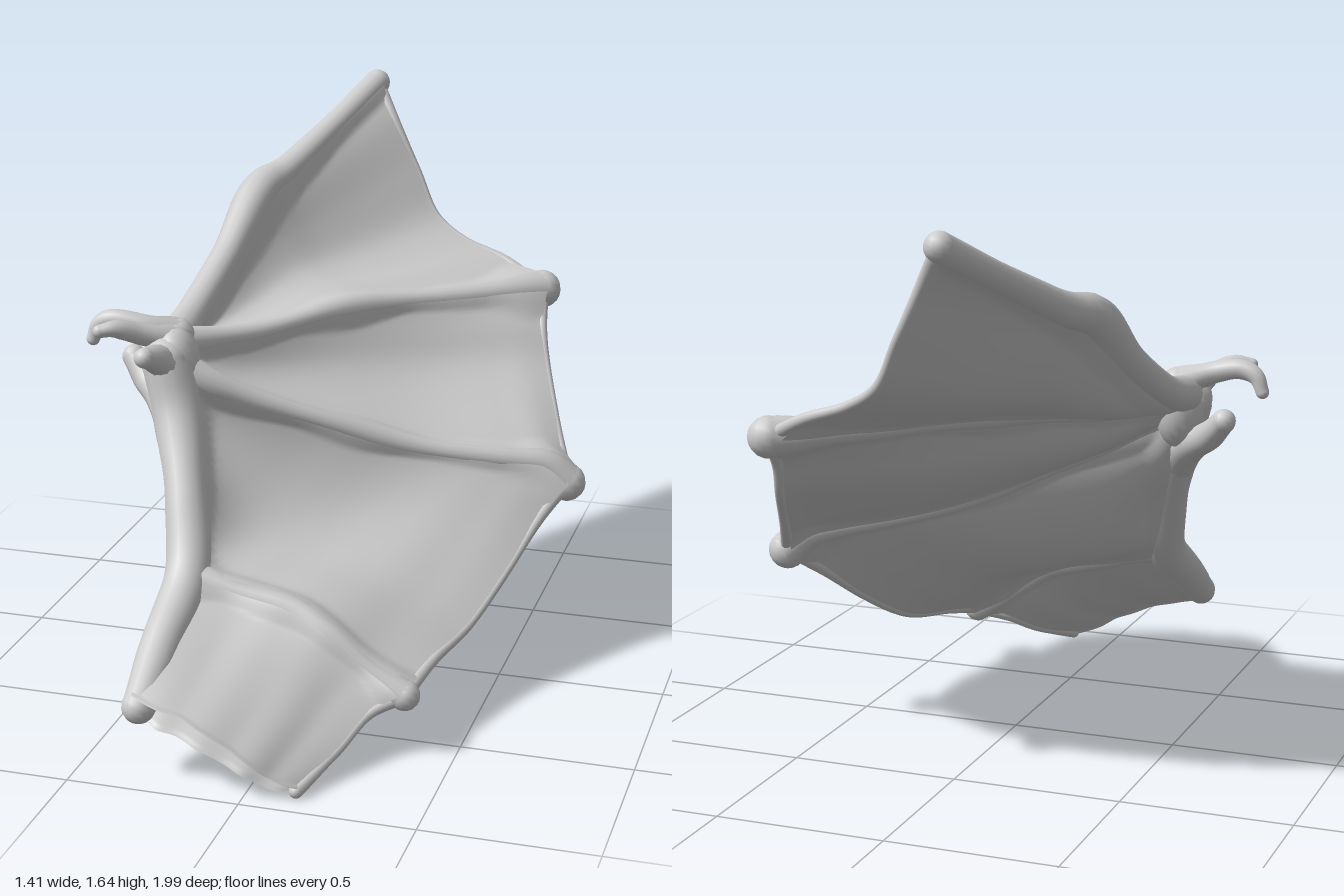
import * as THREE from 'three';
import { mergeGeometries } from 'three/addons/utils/BufferGeometryUtils.js';

const grey = new THREE.MeshStandardMaterial({ color: 0xcccccc, side: THREE.DoubleSide });
const curve = pts => new THREE.CatmullRomCurve3(pts.map(p => new THREE.Vector3(...p)), false, 'centripetal');

// Value at t (0..1) in an evenly spaced list of radii
function sample(list, t) {
  const f = t * (list.length - 1), i = Math.min(Math.floor(f), list.length - 2);
  return THREE.MathUtils.lerp(list[i], list[i + 1], THREE.MathUtils.smoothstep(f - i, 0, 1));
}

// Bone: a tube of changing radius with rounded ends
function bone(name, path, radii) {
  const seg = 48, sides = 14;
  const tube = new THREE.TubeGeometry(path, seg, 1, sides, false);
  const pos = tube.attributes.position, nor = tube.attributes.normal;
  const v = new THREE.Vector3(), n = new THREE.Vector3();
  for (let i = 0; i < pos.count; i++) {
    const u = Math.floor(i / (sides + 1)) / seg;
    n.fromBufferAttribute(nor, i);
    v.copy(path.getPointAt(u)).addScaledVector(n, sample(radii, u));
    pos.setXYZ(i, v.x, v.y, v.z);
  }
  const ends = [0, 1].map(u => {
    const p = path.getPointAt(u);
    return new THREE.SphereGeometry(sample(radii, u), 14, 10).translate(p.x, p.y, p.z);
  });
  const mesh = new THREE.Mesh(mergeGeometries([tube, ...ends]), grey);
  mesh.name = name;
  return mesh;
}

// Membrane: two skins stretched between paths a and b out to a free edge,
// sagging in the middle and swelling to meet the bones (radii ra, rb)
const sagDir = new THREE.Vector3(-0.5, -0.72, -0.48).normalize();
function membrane(name, a, b, ra, rb, edge, sag, flare = 0) {
  const n = 44, mid = new THREE.PlaneGeometry(1, 1, n, n), pos = mid.attributes.position;
  const a1 = a.getPointAt(1), b1 = b.getPointAt(1);
  const p = new THREE.Vector3(), chord = new THREE.Vector3(), normal = new THREE.Vector3();
  const half = [];
  const swell = (r, d) => 0.92 * r * Math.exp(-((d / (1.65 * r)) ** 2));
  for (let j = 0; j <= n; j++) {
    const u = j / n, pa = a.getPointAt(u), pb = b.getPointAt(u), width = pa.distanceTo(pb);
    for (let i = 0; i <= n; i++) {
      const s = i / n, v = s - 0.11 * Math.sin(2 * Math.PI * s);
      p.lerpVectors(pa, pb, v);
      chord.lerpVectors(a1, b1, v);
      p.addScaledVector(edge.getPointAt(v).sub(chord), u ** 1.6);
      p.addScaledVector(sagDir, sag * Math.sin(Math.PI * v) * Math.sin(Math.PI * u ** 0.75));
      pos.setXYZ(j * (n + 1) + i, p.x, p.y, p.z);
      half.push(Math.max(0.014, swell(sample(ra, u), v * width), swell(sample(rb, u), (1 - v) * width))
        + flare * v * (1 - u * u));
    }
  }
  mid.computeVertexNormals();
  const skins = [1, -0.7].map(side => {
    const g = mid.clone(), q = g.attributes.position;
    for (let i = 0; i < q.count; i++) {
      normal.fromBufferAttribute(mid.attributes.normal, i);
      // the fuller skin is always the upper one
      if (normal.dot(sagDir) > 0) normal.negate();
      p.fromBufferAttribute(pos, i).addScaledVector(normal, side * half[i]);
      q.setXYZ(i, p.x, p.y, p.z);
    }
    g.computeVertexNormals();
    return g;
  });
  const mesh = new THREE.Mesh(mergeGeometries(skins), grey);
  mesh.name = name;
  return mesh;
}

export function createModel() {
  const wing = new THREE.Group();
  wing.name = 'wing';

  // Bone paths
  const finger1 = curve([[-.46, 1.03, .2], [-.46, 1.07, .02], [-.425, 1.19, -.2], [-.38, 1.355, -.41],
    [-.34, 1.385, -.51], [-.25, 1.485, -.72], [-.155, 1.6, -.95]]);
  const finger2 = curve([[-.45, 1.03, .2], [-.28, 1.01, -.03], [-.05, 1.035, -.3], [.2, 1.02, -.52], [.455, 1.015, -.72]]);
  const finger3 = curve([[-.44, .99, .25], [-.34, .93, .22], [-.23, .87, .165], [0, .77, .045], [.24, .68, -.07], [.49, .63, -.18],
    [.58, .61, -.22], [.645, .555, -.235]]);
  const armPts = [[-.45, 1.0, .27], [-.41, .86, .3], [-.34, .64, .43], [-.295, .46, .56]];
  const finger4Pts = [[-.295, .46, .56], [-.14, .415, .55], [.02, .38, .545], [.12, .335, .56], [.25, .24, .57], [.355, .18, .58]];
  const arm = curve([...armPts, [-.305, .33, .75], [-.31, .215, .925]]);
  const finger4 = curve(finger4Pts);
  const armAndFinger4 = curve([...armPts, ...finger4Pts.slice(1)]);

  // Bone thickness
  const r1 = [.055, .048, .048, .06, .045, .04, .042];
  const r2 = [.05, .034, .03, .042, .03, .036, .06];
  const r3 = [.05, .036, .03, .038, .03, .036, .058];
  const r4 = [.05, .036, .043, .036, .03, .045];
  const rArm = [.075, .072, .062, .066, .064, .058, .048];
  wing.add(
    bone('firstFinger', finger1, r1),
    bone('secondFinger', finger2, r2),
    bone('thirdFinger', finger3, r3),
    bone('fourthFinger', finger4, r4),
    bone('forearm', arm, rArm)
  );

  // Free edges of the membranes
  const edge12 = curve([[-.155, 1.6, -.95], [-.09, 1.5, -.9], [0, 1.34, -.865], [.08, 1.2, -.82], [.18, 1.135, -.79], [.32, 1.085, -.77], [.455, 1.015, -.72]]);
  const edge23 = curve([[.455, 1.015, -.72], [.475, .92, -.63], [.505, .82, -.56], [.56, .71, -.43], [.645, .555, -.235]]);
  const edge34 = curve([[.645, .555, -.235], [.585, .475, -.13], [.52, .355, .03], [.45, .25, .22], [.39, .215, .42], [.355, .18, .58]]);
  const edge4 = curve([[.355, .18, .58], [.27, .14, .64], [.21, .075, .76], [.14, .02, .92]]);

  // Ragged root edge
  const root = curve([[-.32, .215, .92], [-.25, .195, .96], [-.19, .18, .955], [-.12, .155, .975], [-.05, .12, .97],
    [.01, .09, .98], [.06, .055, .96], [.1, .035, .95], [.14, .02, .92]]);
  wing.add(
    membrane('outerMembrane', finger1, finger2, r1, r2, edge12, .06),
    membrane('middleMembrane', finger2, finger3, r2, r3, edge23, .06),
    membrane('innerMembrane', finger3, armAndFinger4, r3, [.07, .068, .062, .062, .045, .042, .036, .045], edge34, .065),
    membrane('rootMembrane', finger4, root, r4, [.02, .02], edge4, .02, .035)
  );

  // Rolled rims along the free edges
  [edge12, edge23, edge34, edge4].forEach((e, i) => wing.add(bone('membraneRim' + (i + 1), e, [.022, .015, .015, .02])));

  // Hand with short clawed digits: path and thickness of each
  const hand = new THREE.Group();
  hand.name = 'hand';
  const digits = [
    [[[-.44, 1.06, .2], [-.53, 1.09, .24], [-.62, 1.105, .25], [-.665, 1.085, .25], [-.685, 1.04, .25]], [.05, .034, .03, .02]],
    [[[-.44, 1.05, .23], [-.52, 1.08, .29], [-.58, 1.105, .34], [-.62, 1.1, .36]], [.05, .034, .03, .02]],
    [[[-.435, .98, .28], [-.455, 1.02, .33], [-.475, 1.04, .385]], [.06, .045, .03]],
    [[[-.4, .79, .33], [-.46, .86, .25], [-.54, .91, .19], [-.595, .965, .155]], [.06, .055, .045, .036]]
  ];
  digits.forEach(([pts, radii], i) => hand.add(bone('digit' + (i + 1), curve(pts), radii)));
  const palm = new THREE.Mesh(new THREE.SphereGeometry(.075, 20, 14), grey);
  palm.name = 'palm';
  palm.scale.set(1, 1.6, 1.2);
  palm.position.set(-.435, .975, .24);
  hand.add(palm);
  wing.add(hand);
  return wing;
}
